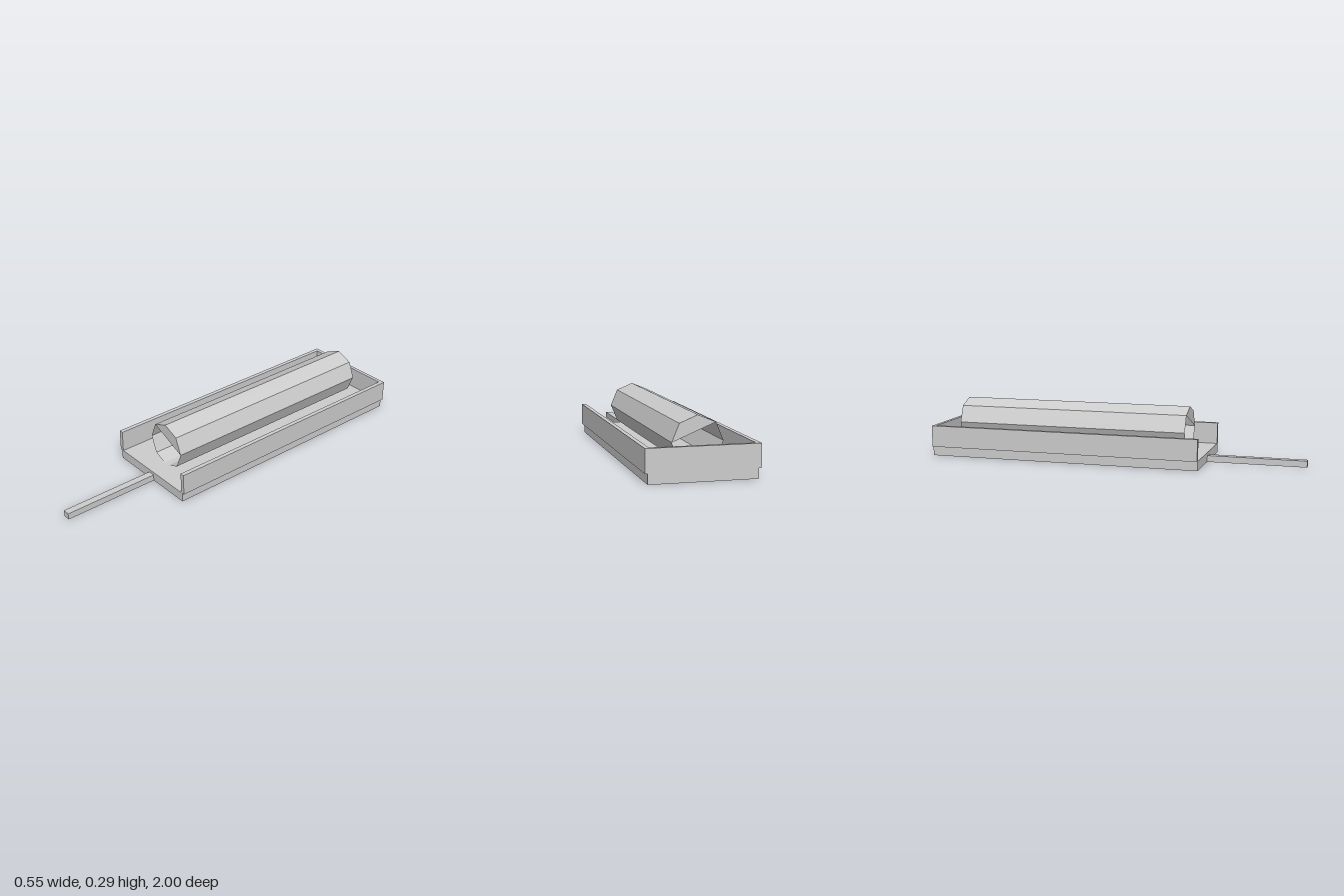
import * as THREE from 'three';

export function createModel() {
  const model = new THREE.Group();
  model.name = 'trayWithTube';

  const grey = new THREE.MeshStandardMaterial({ color: 0xcccccc, flatShading: true, side: THREE.DoubleSide });
  grey.name = 'light grey';

  const add = (name, geometry, x = 0, y = 0, z = 0) => {
    const mesh = new THREE.Mesh(geometry, grey);
    mesh.name = name;
    mesh.position.set(x, y, z);
    model.add(mesh);
  };

  const front = 0.475, back = -1, floorY = 0.05, wallTop = 0.165;

  // Base slab, slightly narrower than the walls
  add('base', new THREE.BoxGeometry(0.524, floorY, front - back), 0, floorY / 2, (front + back) / 2);

  // U-shaped wall, open at the front (shape y is -z)
  const wall = new THREE.Shape([
    [-0.275, -front], [-0.252, -front], [-0.252, 0.98], [0.252, 0.98],
    [0.252, -front], [0.275, -front], [0.275, -back], [-0.275, -back],
  ].map(([x, y]) => new THREE.Vector2(x, y)));
  const wallGeometry = new THREE.ExtrudeGeometry(wall, { depth: wallTop - floorY, bevelEnabled: false });
  add('wall', wallGeometry.rotateX(-Math.PI / 2), 0, floorY, 0);

  // Thin rod out of the front
  add('rod', new THREE.BoxGeometry(0.038, 0.034, 1 - front), 0, 0.017, (1 + front) / 2);

  // Open eight-sided tube lying in the tray
  const r = 0.124, tubeY = 0.167, tubeFront = 0.375, tubeBack = -0.9;
  const tube = new THREE.CylinderGeometry(r, r, tubeFront - tubeBack, 8, 1, true).rotateX(Math.PI / 2);
  add('tube', tube, 0, tubeY, (tubeFront + tubeBack) / 2);

  // Partial cover across four corners of each tube end
  const corners = [0, 1, 2, 3].map((i) => {
    const a = i * Math.PI / 4;
    return new THREE.Vector2(r * Math.cos(a), r * Math.sin(a));
  });
  const cover = new THREE.ShapeGeometry(new THREE.Shape(corners));
  add('frontTubeCover', cover, 0, tubeY, tubeFront);
  add('backTubeCover', cover, 0, tubeY, tubeBack);

  return model;
}
